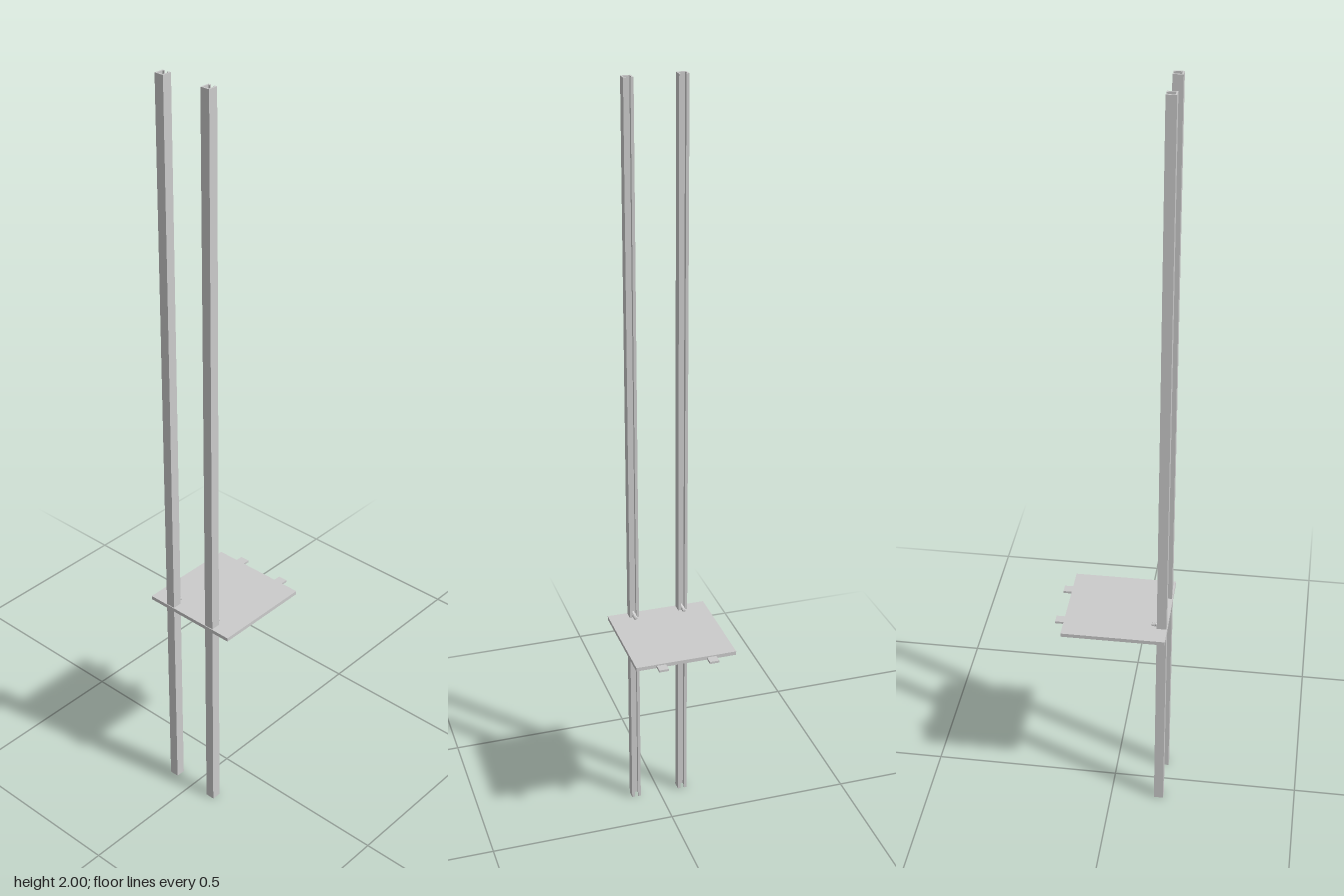
import * as THREE from 'three';

const grey = new THREE.MeshStandardMaterial({ color: 0xcccccc, flatShading: true });

function add(parent, name, geometry, x = 0, y = 0, z = 0) {
  const mesh = new THREE.Mesh(geometry, grey);
  mesh.name = name;
  mesh.position.set(x, y, z);
  parent.add(mesh);
  return mesh;
}

// Lipped channel section, its slot facing the back, extruded upwards
function channelGeometry(width, depth, wall, slot, height) {
  const w = width / 2, d = depth / 2, s = slot / 2;
  const half = [[s, d], [w, d], [w, -d]];
  const inner = [[w - wall, -d + wall], [w - wall, d - wall], [s, d - wall]];
  const mirror = pts => pts.map(([x, y]) => [-x, y]).reverse();
  const outline = [...half, ...mirror(half), ...mirror(inner), ...inner];
  const shape = new THREE.Shape(outline.map(([x, y]) => new THREE.Vector2(x, y)));
  const geometry = new THREE.ExtrudeGeometry(shape, { depth: height, bevelEnabled: false });
  return geometry.rotateX(-Math.PI / 2);
}

// Screw with ridged thread, lying along z
function screwGeometry(length, radius, ridges) {
  const pts = [new THREE.Vector2(0, 0)];
  const step = length / ridges;
  for (let i = 0; i < ridges; i++) {
    pts.push(new THREE.Vector2(radius * 0.75, i * step));
    pts.push(new THREE.Vector2(radius, (i + 0.5) * step));
  }
  pts.push(new THREE.Vector2(radius * 0.75, length), new THREE.Vector2(0, length));
  return new THREE.LatheGeometry(pts, 12).rotateX(Math.PI / 2);
}

export function createModel() {
  const model = new THREE.Group();
  model.name = 'railShelf';

  // Shelf board
  add(model, 'shelfBoard', new THREE.BoxGeometry(0.266, 0.01, 0.269), 0, 0.575, 0.0105);

  const rail = channelGeometry(0.025, 0.025, 0.004, 0.01, 2);
  const screw = screwGeometry(0.036, 0.005, 8);
  const tab = new THREE.BoxGeometry(0.025, 0.006, 0.026);

  // Upright rail, clamping screw and rear tab on each side
  for (const [side, x] of [['left', 0.067], ['right', -0.067]]) {
    add(model, side + 'Rail', rail, x, 0, 0.1305);
    add(model, side + 'Screw', screw, x, 0.584, 0.104);
    add(model, side + 'RearTab', tab, x, 0.5735, -0.134);
  }
  return model;
}
